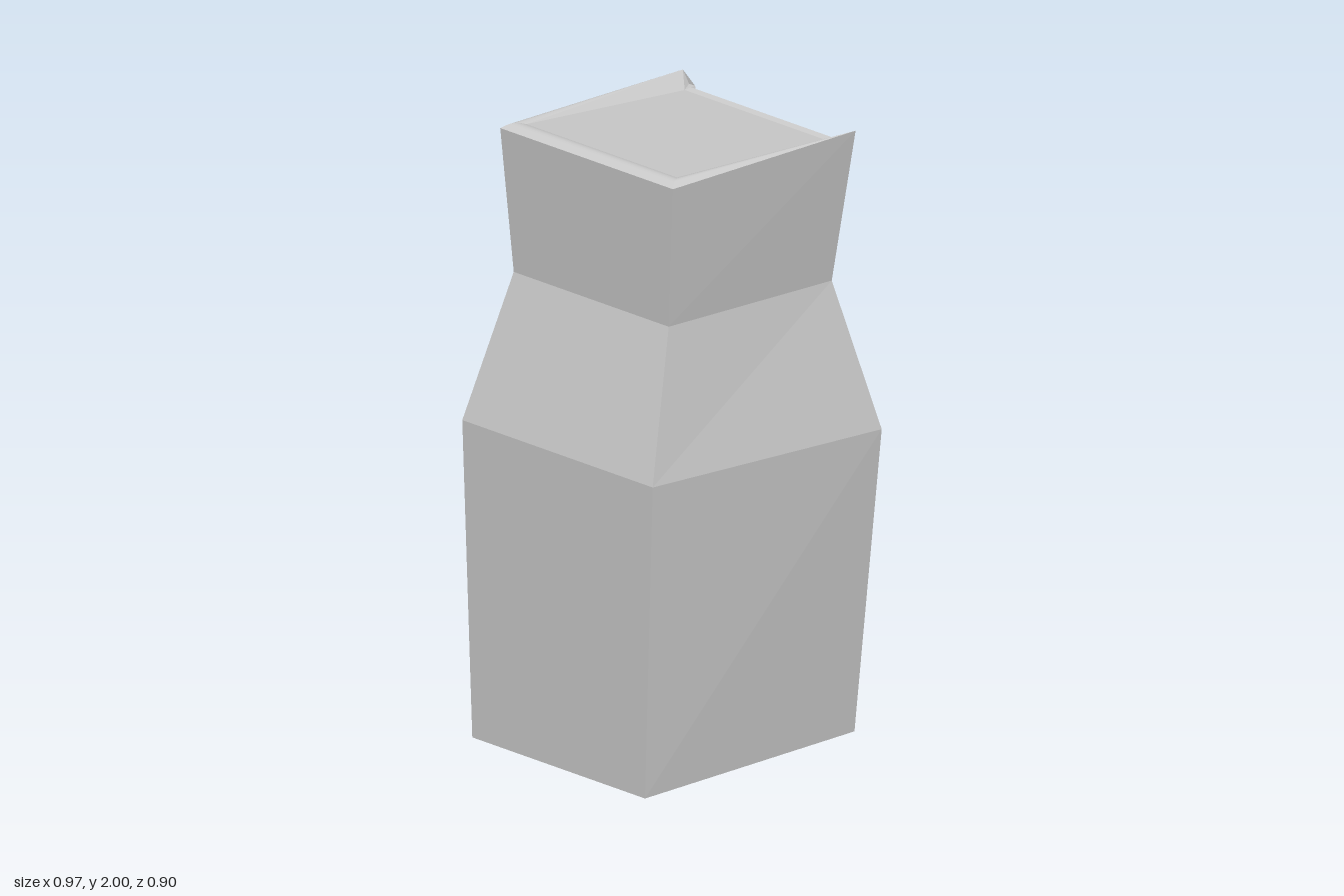
import * as THREE from 'three';

// Builds a mesh from polygons given for the +z half; each is fanned and mirrored to -z.
function mirroredMesh(name, polys) {
  const pos = [];
  for (const p of polys) {
    for (let i = 1; i < p.length - 1; i++) {
      const [a, b, c] = [p[0], p[i], p[i + 1]];
      pos.push(...a, ...b, ...c);
      for (const [x, y, z] of [a, c, b]) pos.push(x, y, -z);
    }
  }
  const geo = new THREE.BufferGeometry();
  geo.setAttribute('position', new THREE.Float32BufferAttribute(pos, 3));
  geo.computeVertexNormals();
  const mesh = new THREE.Mesh(geo, new THREE.MeshStandardMaterial({ color: 0xcccccc, flatShading: true }));
  mesh.name = name;
  return mesh;
}

// Same point moved to the mirror plane, or to another x
const mid = ([x, y]) => [x, y, 0];
const atX = (p, x) => [x, p[1], p[2]];

export function createModel() {
  const group = new THREE.Group();
  group.name = 'bottle';

  // Rings from bottom to top: left corner, right corner, right middle (the V dip)
  const rings = [
    { l: [-0.48, 0, 0.39], r: [0.42, 0, 0.39], m: [0.42, 0, 0] },
    { l: [-0.485, 1.04, 0.43], r: [0.48, 1.0, 0.45], m: [0.446, 0.43, 0] },
    { l: [-0.34, 1.515, 0.35], r: [0.37, 1.49, 0.34], m: [0.382, 0.625, 0] },
    { l: [-0.36, 1.985, 0.39], r: [0.425, 1.985, 0.39], m: [0.425, 0.81, 0] },
  ];
  const body = [[mid(rings[0].l), rings[0].m, rings[0].r, rings[0].l]];
  for (let i = 0; i < 3; i++) {
    const a = rings[i], b = rings[i + 1];
    body.push([a.l, a.r, b.r, b.l]);
    body.push([mid(a.l), a.l, b.l, mid(b.l)]);
    body.push([a.r, a.m, b.m, b.r]);
  }
  group.add(mirroredMesh('body', body));

  // V-shaped frame and its stepped panel with a triangular recess
  const { r: A, m: T } = rings[3];
  const C = [0.425, 1.945, 0.362], B = [0.425, 1.945, 0.335], U = [0.425, 0.945, 0];
  const B2 = atX(B, 0.407), U2 = atX(U, 0.407);
  const I = [0.407, 1.9, 0.23], J = [0.407, 1.09, 0];
  const I2 = atX(I, 0.375), J2 = atX(J, 0.375);
  group.add(mirroredMesh('sideFrame', [
    [A, T, U, B, C],
    [B, U, U2, B2],
  ]));
  group.add(mirroredMesh('sidePanel', [
    [B2, U2, J, I],
    [B2, I, mid(I), mid(B2)],
    [I, J, J2, I2],
    [mid(I), I, I2, mid(I2)],
    [I2, J2, mid(I2)],
  ]));

  // Sloping top with a rounded lip on the far side and bevelled rims
  const FR = [0.385, 1.94, 0.34];
  const steps = 10, lip = [];
  for (let k = 0; k <= steps; k++) {
    const t = k / steps;
    lip.push([-0.36 + 0.065 * t, 1.985 + 0.01 * t + 0.01 * Math.sin(Math.PI * t), 0.39 - 0.05 * t]);
  }
  const FL = lip[steps];
  const rim = [
    [A, FR, FL],
    [A, C, FR],
    [C, B, B2, FR],
    [B2, mid(B2), mid(FR), FR],
  ];
  const roll = [];
  for (let k = 0; k < steps; k++) {
    rim.push([A, lip[k + 1], lip[k]]);
    roll.push([lip[k], lip[k + 1], mid(lip[k + 1]), mid(lip[k])]);
  }
  group.add(mirroredMesh('topRim', rim));
  group.add(mirroredMesh('roundedLip', roll));
  group.add(mirroredMesh('topPanel', [[FL, FR, mid(FR), mid(FL)]]));

  return group;
}
